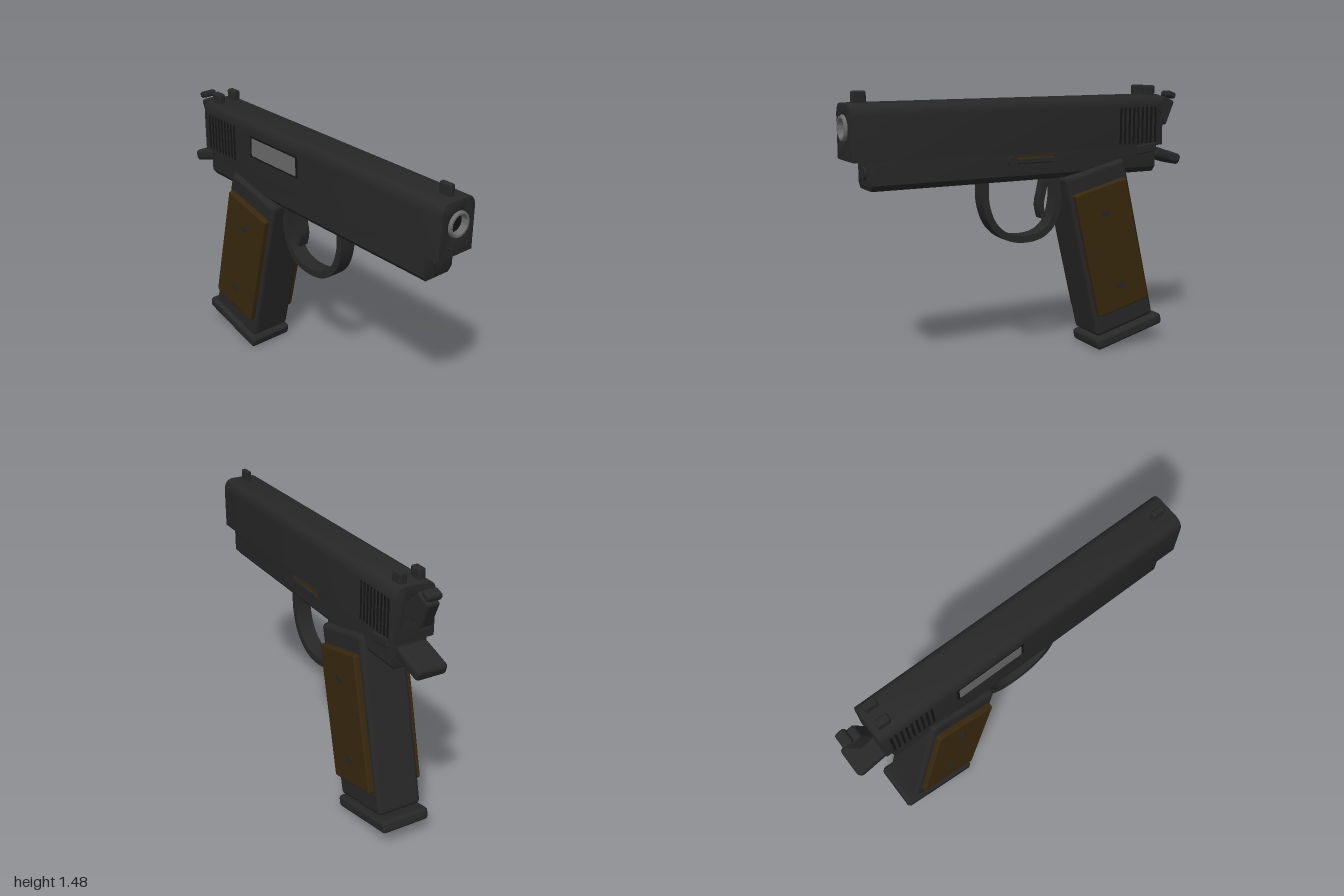
import * as THREE from 'three';
import { toCreasedNormals } from 'three/addons/utils/BufferGeometryUtils.js';
import { RoundedBoxGeometry } from 'three/addons/geometries/RoundedBoxGeometry.js';

export function createModel() {
  const model = new THREE.Group();
  const material = (name, color) => {
    const m = new THREE.MeshStandardMaterial({ color });
    m.name = name;
    return m;
  };
  const metal = material('dark metal', 0x272727);
  const black = material('black recess', 0x141414);
  const wood = material('brown wood', 0x38280e);
  const steel = material('grey steel', 0x6a6a6a);

  const add = (name, geometry, mat, x = 0, y = 0, z = 0, tilt = 0) => {
    const mesh = new THREE.Mesh(geometry, mat);
    mesh.name = name;
    mesh.position.set(x, y, z);
    mesh.rotation.x = tilt;
    model.add(mesh);
    return mesh;
  };
  const block = (w, h, d, r) => new RoundedBoxGeometry(w, h, d, 3, r);
  const acrossX = (r, length) => new THREE.CylinderGeometry(r, r, length, 24).rotateZ(Math.PI / 2);
  const alongZ = (r, length) => new THREE.CylinderGeometry(r, r, length, 32).rotateX(Math.PI / 2);

  // Extrude an x-y section along z, with a small bevel inside the given length
  const alongBarrel = (shape, z0, z1, bevel) => {
    const g = new THREE.ExtrudeGeometry(shape, {
      depth: z1 - z0 - 2 * bevel, curveSegments: 16, bevelEnabled: true,
      bevelSize: bevel, bevelThickness: bevel, bevelOffset: -bevel, bevelSegments: 2,
    });
    return toCreasedNormals(g.translate(0, 0, z0 + bevel), 0.6);
  };

  // Flat band following a curve of [z, y] points, extruded across x
  const ribbon = (points, thickness, width) => {
    const curve = new THREE.CatmullRomCurve3(points.map(([z, y]) => new THREE.Vector3(z, y, 0)));
    const outer = [], inner = [];
    for (let i = 0; i <= 40; i++) {
      const p = curve.getPoint(i / 40), t = curve.getTangent(i / 40);
      const n = new THREE.Vector2(-t.y, t.x).multiplyScalar(thickness / 2);
      outer.push(new THREE.Vector2(p.x + n.x, p.y + n.y));
      inner.unshift(new THREE.Vector2(p.x - n.x, p.y - n.y));
    }
    const g = new THREE.ExtrudeGeometry(new THREE.Shape([...outer, ...inner]), { depth: width, bevelEnabled: false });
    return toCreasedNormals(g.translate(0, 0, -width / 2).rotateY(-Math.PI / 2), 0.6);
  };

  // Slide with rounded top corners and an open bore
  const slide = new THREE.Shape();
  slide.moveTo(-0.11, 1.15);
  slide.lineTo(0.11, 1.15);
  slide.lineTo(0.11, 1.36);
  slide.quadraticCurveTo(0.11, 1.43, 0.05, 1.43);
  slide.lineTo(-0.05, 1.43);
  slide.quadraticCurveTo(-0.11, 1.43, -0.11, 1.36);
  slide.closePath();
  const bore = new THREE.Path();
  bore.absarc(0, 1.31, 0.055, 0, Math.PI * 2, true);
  slide.holes.push(bore);
  add('slide', alongBarrel(slide, -0.84, 0.985, 0.006), metal);
  add('slideRearPlug', alongZ(0.066, 0.04), metal, 0, 1.31, -0.821);

  // Barrel muzzle
  const ring = [[0.046, 0.7], [0.046, 0.99], [0.05, 1], [0.06, 1], [0.065, 0.99], [0.065, 0.95]];
  const muzzle = new THREE.LatheGeometry(ring.map(([r, z]) => new THREE.Vector2(r, -z)), 40);
  const muzzleSteel = steel.clone();
  muzzleSteel.name = 'grey steel, double sided';
  muzzleSteel.side = THREE.DoubleSide;
  add('muzzle', toCreasedNormals(muzzle.rotateX(-Math.PI / 2), 0.5), muzzleSteel, 0, 1.31, 0);
  add('boreDepth', alongZ(0.047, 0.01), black, 0, 1.31, 0.96);

  // Frame with chamfered lower edges, and the guide rod plug
  const frame = new THREE.Shape([
    [-0.1, 1.16], [-0.1, 1.03], [-0.075, 1], [0.075, 1], [0.1, 1.03], [0.1, 1.16],
  ].map(([x, y]) => new THREE.Vector2(x, y)));
  add('frame', alongBarrel(frame, -0.8, 0.885, 0.006), metal);
  add('guideRod', alongZ(0.032, 0.04), metal, 0, 1.083, 0.876);

  // Sights
  add('frontSight', block(0.03, 0.07, 0.075, 0.01), metal, 0, 1.452, 0.907);
  for (const x of [-0.05, 0.05]) {
    add('rearSight', block(0.04, 0.065, 0.07, 0.01), metal, x, 1.449, -0.775);
  }

  // Rear serrations on both sides
  for (const side of [-1, 1]) {
    for (let i = 0; i < 9; i++) {
      add('serration', new THREE.BoxGeometry(0.006, 0.2, 0.012), black, side * 0.1095, 1.265, -0.555 - i * 0.029);
    }
  }

  // Ejection port
  add('ejectionPortRim', new THREE.BoxGeometry(0.006, 0.12, 0.4), black, -0.1085, 1.29, -0.21);
  add('ejectionPort', new THREE.BoxGeometry(0.006, 0.1, 0.37), steel, -0.1105, 1.29, -0.21);

  // Slide stop and safety lever on the left side
  add('slideStopPlate', new THREE.BoxGeometry(0.008, 0.045, 0.26), wood, 0.1, 1.114, -0.005);
  add('slideStop', block(0.03, 0.032, 0.25, 0.008), metal, 0.1, 1.108, -0.005);
  add('slideStopPin', acrossX(0.027, 0.04), metal, 0.096, 1.11, 0.118);
  add('safetyLever', block(0.03, 0.05, 0.13, 0.008), metal, 0.105, 1.135, -0.73, 0.13);

  // Hammer and tang
  add('hammer', block(0.07, 0.148, 0.097, 0.014), metal, 0, 1.337, -0.906, -0.4);
  add('hammerSpur', block(0.08, 0.036, 0.058, 0.014), metal, 0, 1.423, -0.957, -0.35);
  add('gripTang', block(0.17, 0.062, 0.195, 0.022), metal, 0, 1.08, -0.902, -0.3);

  // Trigger and its guard
  add('triggerGuard', ribbon([
    [0.243, 1.01], [0.24, 0.88], [0.195, 0.765], [0.11, 0.695], [0, 0.675],
    [-0.1, 0.695], [-0.165, 0.755], [-0.195, 0.85], [-0.205, 1.01],
  ], 0.038, 0.09), metal);
  add('trigger', ribbon([[-0.135, 1.02], [-0.115, 0.93], [-0.1, 0.85], [-0.115, 0.78]], 0.03, 0.06), metal);

  // Slanted grip with wooden panels, screws and base plate
  const slant = 0.235;
  add('grip', block(0.25, 0.945, 0.39, 0.025), metal, 0, 0.585, -0.497, slant);
  add('basePlate', block(0.274, 0.066, 0.452, 0.02), metal, 0, 0.087, -0.63, slant);
  for (const side of [-1, 1]) {
    add('gripPanel', block(0.04, 0.722, 0.338, 0.01), wood, side * 0.136, 0.595, -0.488, slant);
    for (const [y, z] of [[0.8, -0.436], [0.38, -0.542]]) {
      add('gripScrew', acrossX(0.021, 0.02), metal, side * 0.15, y, z);
    }
  }
  return model;
}
